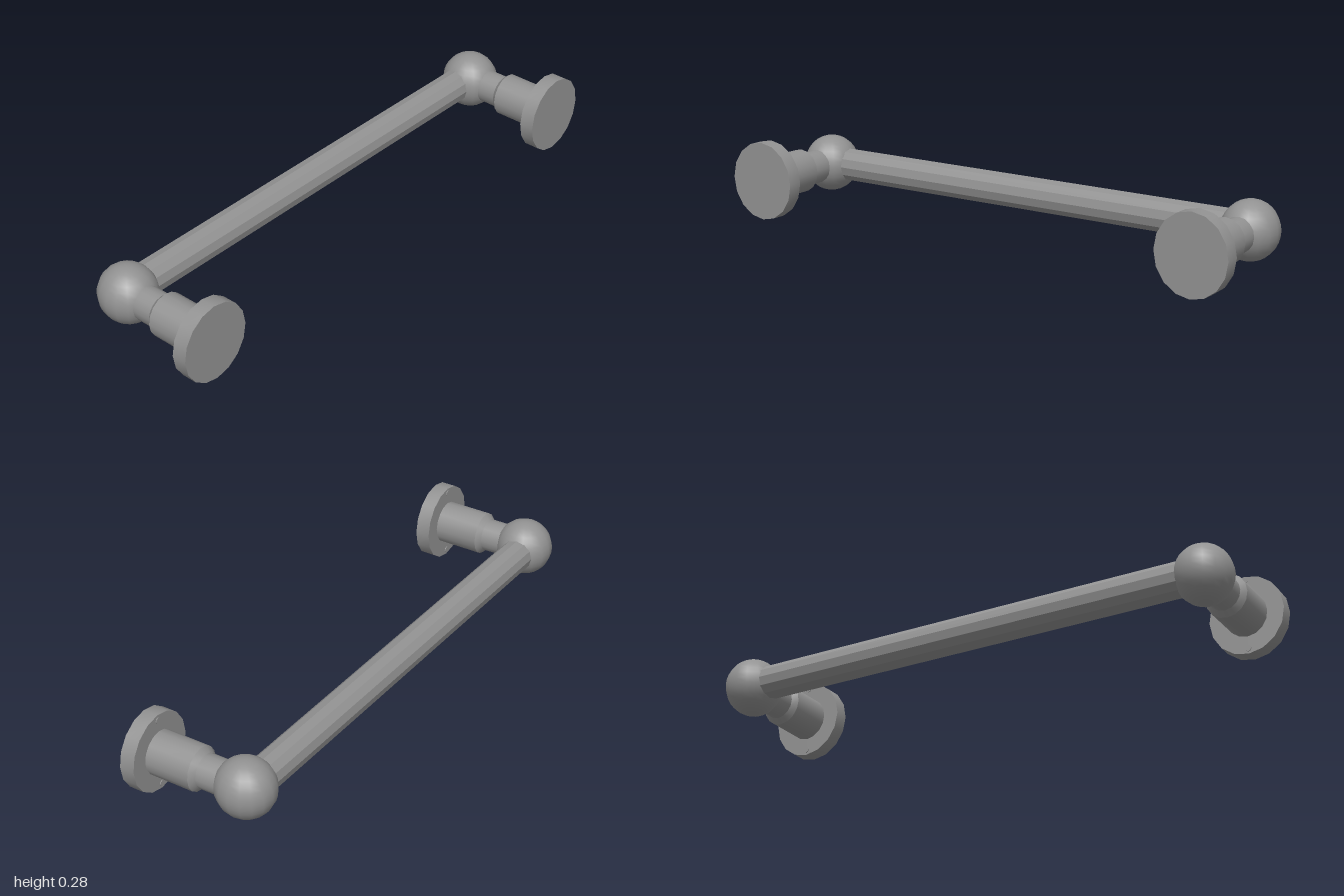
import * as THREE from 'three';
import { toCreasedNormals } from 'three/addons/utils/BufferGeometryUtils.js';

const SIDES = 16;
const OVAL = 0.945;    // brackets are slightly narrower than tall
const Y = 0.139;       // height of all axes
const BALL_Z = -0.141; // depth of the ball joints
const RAIL_Z = -0.15;  // depth of the rail
const POST_X = 0.869;

export function createModel() {
  const group = new THREE.Group();
  group.name = 'grabRail';
  const smooth = new THREE.MeshStandardMaterial({ color: 0x929292 });
  const flat = new THREE.MeshStandardMaterial({ color: 0x929292, flatShading: true });

  const add = (parent, name, geometry, material, x, y, z) => {
    const mesh = new THREE.Mesh(geometry, material);
    mesh.name = name;
    mesh.position.set(x, y, z);
    parent.add(mesh);
  };

  // Turned oval part along z from [radius, z] pairs, back to front
  const turned = (pairs) => {
    const lathe = new THREE.LatheGeometry(pairs.map(([r, z]) => new THREE.Vector2(r, z)), SIDES);
    return toCreasedNormals(lathe.rotateX(Math.PI / 2).scale(OVAL, 1, 1), 0.7);
  };

  const postGeo = turned([
    [0.06, BALL_Z + 0.03], [0.06, 0.01], [0.0775, 0.028], [0.0775, 0.2],
  ]);
  const flangeGeo = turned([
    [0, 0.19], [0.139, 0.19], [0.139, 0.243], [0, 0.243],
  ]);
  const ballGeo = new THREE.SphereGeometry(0.102, SIDES, 16).rotateY(Math.PI / 2).scale(0.96, 1, 1);
  const screwGeo = new THREE.CylinderGeometry(0.011, 0.011, 0.006, 8).rotateX(Math.PI / 2);

  // Two matching wall brackets
  for (const side of [-1, 1]) {
    const bracket = new THREE.Group();
    bracket.name = side > 0 ? 'leftBracket' : 'rightBracket';
    bracket.position.set(side * POST_X, Y, 0);
    group.add(bracket);
    add(bracket, 'flange', flangeGeo, smooth, 0, 0, 0);
    add(bracket, 'post', postGeo, smooth, 0, 0, 0);
    add(bracket, 'ballJoint', ballGeo, smooth, 0, 0, BALL_Z);
    for (const s of [-1, 1]) add(bracket, 'screwHead', screwGeo, smooth, 0, s * 0.12, 0.19);
  }

  // Straight rail between the ball joints
  const railGeo = new THREE.CylinderGeometry(0.059, 0.059, POST_X * 2 - 0.08, 12).rotateZ(Math.PI / 2);
  add(group, 'rail', railGeo, flat, 0, Y, RAIL_Z);

  return group;
}
